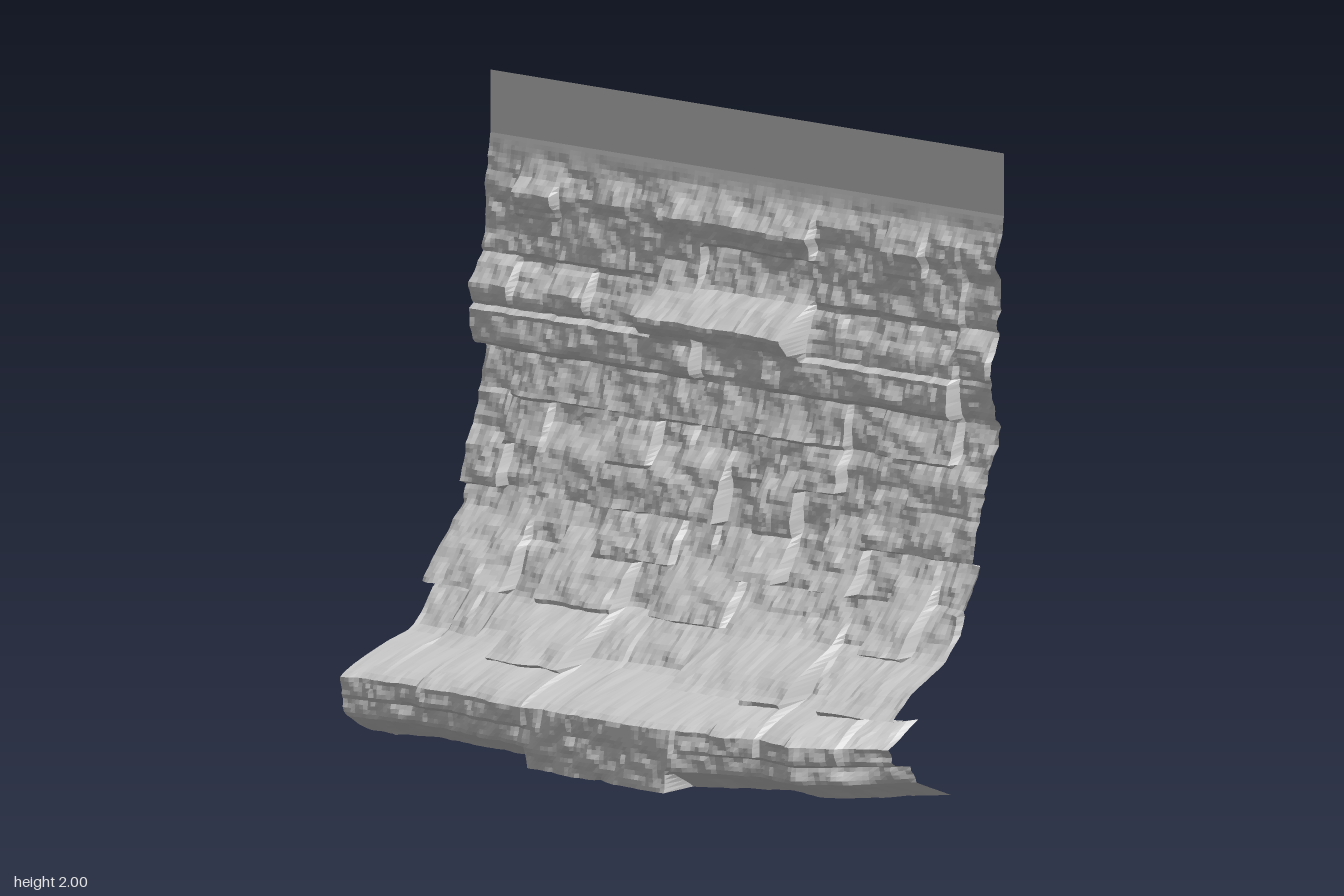
import * as THREE from 'three';

const CELL = 1 / 7; // size of one rock block

// Depth profiles [y, z]: the most recessed and the most protruding rock
const LOW = [[0, -0.02], [0.1, 0.05], [0.13, 0.06], [0.145, 0.16], [0.2, 0.17], [0.24, 0.08], [0.29, -0.07],
  [0.35, -0.12], [0.42, -0.17], [0.5, -0.2], [0.57, -0.25], [0.7, -0.31], [0.85, -0.35], [1, -0.38],
  [1.14, -0.39], [1.28, -0.36], [1.43, -0.385], [1.73, -0.39], [1.8, -0.4]];
const HIGH = [[0, 0.4], [0.2, 0.4], [0.27, 0.32], [0.3, 0.26], [0.35, 0.18], [0.42, 0], [0.5, -0.07],
  [0.57, -0.11], [0.7, -0.2], [0.85, -0.22], [1, -0.27], [1.13, -0.32], [1.16, -0.28], [1.25, -0.27],
  [1.34, -0.18], [1.4, -0.26], [1.43, -0.32], [1.5, -0.34], [1.58, -0.33], [1.64, -0.28], [1.7, -0.34],
  [1.74, -0.38], [1.8, -0.4]];
// Front edge of the foot across x, as a share of the depth range
const FOOT = [[-1, 0.95], [-0.75, 0.8], [-0.5, 0.88], [-0.3, 0.95], [0, 1], [0.29, 1], [0.43, 0.84],
  [0.57, 0.7], [0.72, 0.78], [0.86, 0.5], [1, 0.08]];

// Ledges per row: [row, then pairs of first and last block column]; columns run 0 to 14
const LEDGES = [
  [1, 2, 5, 10, 11, 12, 13],
  [2, 3, 5, 8, 11, 12, 14],
  [3, 0, 2, 3, 5, 6, 8, 12, 13],
  [4, 4, 6, 8, 9, 10, 11],
  [5, 0, 1, 2, 7, 8, 9, 11, 14],
  [6, 1, 2, 4, 5, 9, 10, 12, 14],
  [7, 1, 7, 7, 10, 11, 13],
  [8, 0, 6, 8, 13],
  [9, 0, 1, 2, 3, 5, 9],
  [10, 1, 4, 5, 6, 9, 13],
  [11, 1, 2, 5, 8, 8, 9, 11, 12],
];

function sample(profile, t) {
  for (let i = 1; i < profile.length; i++) {
    const [a, va] = profile[i - 1], [b, vb] = profile[i];
    if (t <= b) return THREE.MathUtils.lerp(va, vb, Math.max(0, (t - a) / (b - a)));
  }
  return profile[profile.length - 1][1];
}

function hash(i, j) {
  const s = Math.sin(i * 127.1 + j * 311.7) * 43758.5453;
  return s - Math.floor(s);
}

function noise(x, y) {
  const i = Math.floor(x), j = Math.floor(y), u = x - i, v = y - j;
  const mix = THREE.MathUtils.lerp;
  return mix(mix(hash(i, j), hash(i + 1, j), u), mix(hash(i, j + 1), hash(i + 1, j + 1), u), v) - 0.5;
}

// How far the ledges push the rock out at a point, 0 to 1
function ledgeShare(x, y) {
  const col = (x + 1) / CELL, row = y / CELL;
  let share = 0.22 + 0.16 * hash(Math.floor(col + 0.01), Math.floor(row + 0.01));
  for (const [r, ...spans] of LEDGES) {
    const up = row - r + 0.01;
    if (up < 0 || up > 1.8) continue;
    for (let s = 0; s < spans.length; s += 2) {
      if (col < spans[s] - 0.01 || col > spans[s + 1] + 0.01) continue;
      const strength = r === 9 && spans[s] === 5 ? 1 : 0.6 + 0.3 * hash(r, s + 5);
      share = Math.max(share, strength * (1 - up * up / 3.3));
    }
  }
  // the overhanging shelf only spans the middle of the face
  if (y > 1.27 && y < 1.43 && (x < -0.29 || x > 0.29)) share *= 0.6;
  return share;
}

function depth(x, y) {
  const low = sample(LOW, y), high = sample(HIGH, y);
  const toWall = THREE.MathUtils.smoothstep(y, 0.2, 0.3);
  const share = THREE.MathUtils.lerp(sample(FOOT, x), ledgeShare(x, y), toWall);
  let z = THREE.MathUtils.lerp(low, high, share);
  // undercut foot on both flanks, and stepped blocks in the foot
  if (y < 0.075 && (x < -0.29 || x > 0.28)) z -= 0.14 * (1 - y / 0.075);
  if (y < 0.275) z += 0.035 * (ledgeShare(x, y) - 0.5);
  // weathering, calm on the smooth top edge
  const calm = 1 - THREE.MathUtils.smoothstep(y, 1.68, 1.79);
  const rough = 0.03 * noise(x * 11 + y * 4, y * 16) + 0.018 * noise(x * 30 - y * 14, y * 30 + x * 9)
    + 0.012 * noise(x * 60, y * 45);
  return THREE.MathUtils.clamp(z + rough * calm, -0.4, 0.4);
}

export function createModel() {
  const group = new THREE.Group();
  group.name = 'cliffWall';
  const rock = new THREE.MeshStandardMaterial({ color: 0xcccccc, flatShading: true, side: THREE.DoubleSide });

  // Weathered rock: a fine sheet pushed out by the depth rule
  const face = new THREE.PlaneGeometry(2, 1.8, 140, 126).translate(0, 0.9, 0);
  const p = face.attributes.position;
  for (let i = 0; i < p.count; i++) {
    const y = p.getY(i);
    p.setZ(i, y > 1.795 ? -0.4 : depth(p.getX(i), y));
  }
  face.computeVertexNormals();
  const cliff = new THREE.Mesh(face, rock);
  cliff.name = 'rockFace';

  // Flat strip along the top
  const strip = new THREE.Mesh(new THREE.PlaneGeometry(2, 0.2), rock);
  strip.name = 'topStrip';
  strip.position.set(0, 1.9, -0.4);

  group.add(cliff, strip);
  return group;
}
